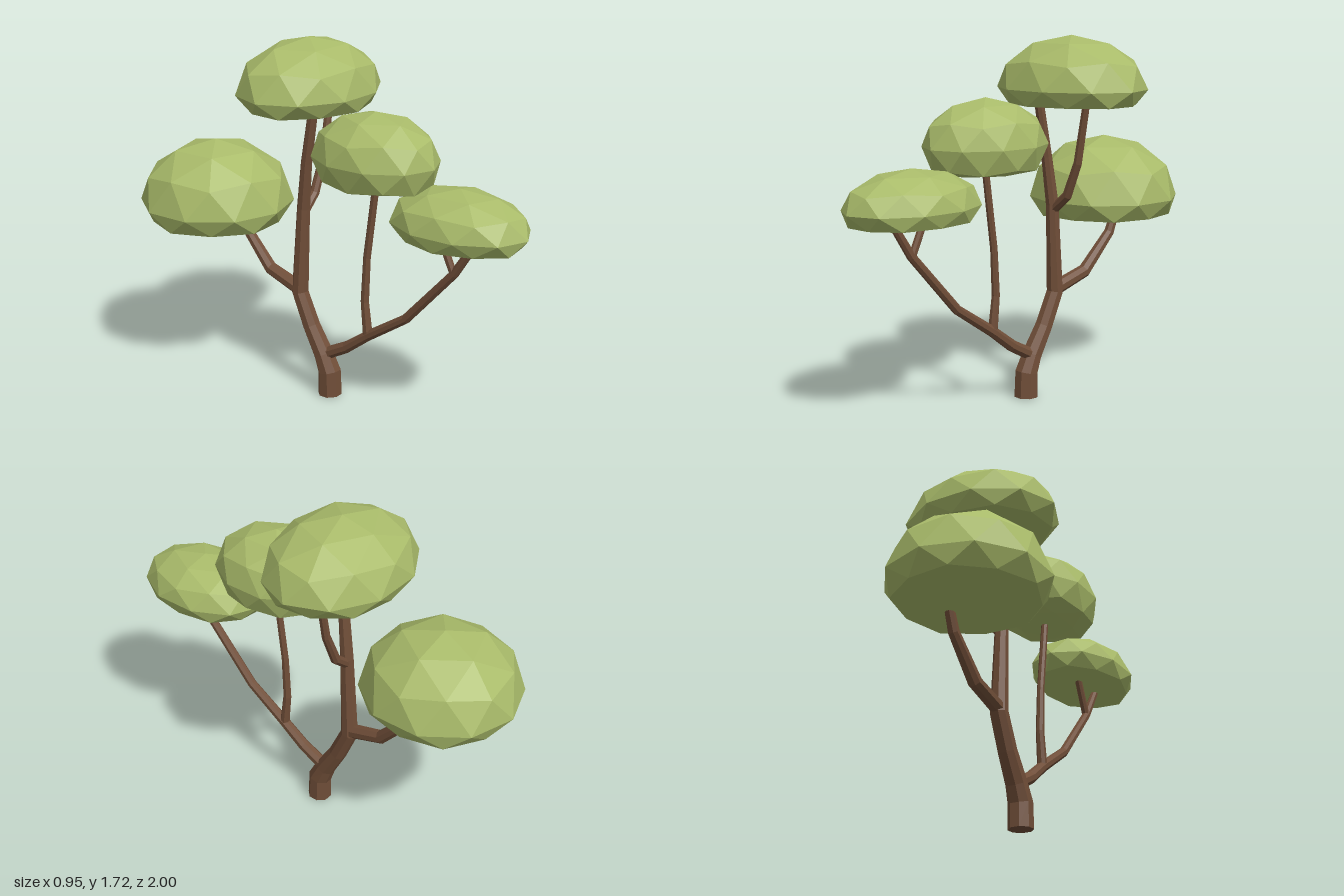
import * as THREE from 'three';

const bark = new THREE.MeshStandardMaterial({ color: 0x704e38, flatShading: true });
bark.name = 'bark';
const leaf = new THREE.MeshStandardMaterial({ color: 0xa9bb6a, flatShading: true });
leaf.name = 'leaf green';

// Tapered faceted limb through points [x, y, z, radius], closed at both ends
function limb(name, pts, sides = 8) {
  const p = pts.map(q => new THREE.Vector3(q[0], q[1], q[2]));
  const pos = [], index = [];
  p.forEach((c, i) => {
    const t = new THREE.Vector3();
    if (i > 0) t.add(c.clone().sub(p[i - 1]).normalize());
    if (i < p.length - 1) t.add(p[i + 1].clone().sub(c).normalize());
    t.normalize();
    const side = new THREE.Vector3(1, 0, 0).addScaledVector(t, -t.x).normalize();
    const up = t.clone().cross(side);
    for (let j = 0; j < sides; j++) {
      const a = ((j + 0.5) / sides) * Math.PI * 2, r = pts[i][3];
      const v = c.clone().addScaledVector(side, Math.cos(a) * r).addScaledVector(up, Math.sin(a) * r);
      pos.push(v.x, v.y, v.z);
    }
  });
  const last = (p.length - 1) * sides, c0 = p.length * sides;
  for (const c of [p[0], p[p.length - 1]]) pos.push(c.x, c.y, c.z);
  for (let j = 0; j < sides; j++) {
    const k = (j + 1) % sides;
    for (let o = 0; o < last; o += sides) {
      index.push(o + j, o + k, o + sides + k, o + j, o + sides + k, o + sides + j);
    }
    index.push(c0, k, j, c0 + 1, last + j, last + k);
  }
  const geo = new THREE.BufferGeometry();
  geo.setAttribute('position', new THREE.Float32BufferAttribute(pos, 3));
  geo.setIndex(index);
  geo.computeVertexNormals();
  const mesh = new THREE.Mesh(geo, bark);
  mesh.name = name;
  return mesh;
}

// Low-poly dome: pole-up icosphere with its underside flattened at `floor`
function crown(name, [x, y, z], [rx, ry, rz], floor, yaw) {
  const geo = new THREE.IcosahedronGeometry(1, 1);
  geo.rotateX(-Math.atan((1 + Math.sqrt(5)) / 2));
  geo.rotateY(yaw);
  geo.scale(rx, ry, rz);
  geo.translate(x, y, z);
  const a = geo.attributes.position;
  for (let i = 0; i < a.count; i++) a.setY(i, Math.max(a.getY(i), floor));
  geo.computeVertexNormals();
  const mesh = new THREE.Mesh(geo, leaf);
  mesh.name = name;
  return mesh;
}

export function createModel() {
  const tree = new THREE.Group();
  tree.name = 'tree';
  const q = Math.PI / 2;

  tree.add(
    // Trunk and its upper fork
    limb('trunk', [
      [-0.022, 0, -0.017, 0.059], [-0.022, 0.12, -0.02, 0.057], [-0.022, 0.2, -0.055, 0.05],
      [-0.02, 0.33, -0.13, 0.044], [-0.018, 0.49, -0.2, 0.042], [-0.015, 0.92, -0.178, 0.032],
      [-0.025, 1.15, -0.15, 0.027], [-0.03, 1.44, -0.1, 0.023],
    ]),
    limb('topFork', [
      [-0.015, 0.89, -0.18, 0.024], [0.08, 0.97, -0.185, 0.024],
      [0.15, 1.13, -0.185, 0.021], [0.21, 1.44, -0.185, 0.018],
    ]),
    // Rear branch
    limb('rearBranch', [
      [-0.018, 0.5, -0.19, 0.036], [-0.01, 0.565, -0.39, 0.033],
      [0, 0.74, -0.55, 0.026], [0, 0.86, -0.6, 0.022],
    ]),
    // Front branch, its two tips and the upright limb rising from it
    limb('frontBranch', [
      [-0.02, 0.2, -0.05, 0.032], [-0.015, 0.27, 0.08, 0.029], [-0.012, 0.36, 0.2, 0.026],
      [-0.012, 0.5, 0.41, 0.023], [-0.012, 0.78, 0.66, 0.021], [-0.012, 0.97, 0.78, 0.018],
    ]),
    limb('frontFork', [[-0.012, 0.77, 0.66, 0.018], [-0.012, 0.97, 0.57, 0.017]]),
    limb('uprightLimb', [
      [-0.012, 0.35, 0.2, 0.024], [-0.012, 0.53, 0.18, 0.02],
      [-0.012, 0.75, 0.19, 0.018], [-0.012, 1.14, 0.24, 0.017],
    ]),
    // Foliage
    crown('frontCrown', [0.007, 1.0, 0.665], [0.24, 0.17, 0.338], 0.935, q),
    crown('middleCrown', [-0.015, 1.235, 0.233], [0.247, 0.215, 0.313], 1.105, -q),
    crown('topCrown', [0.078, 1.475, -0.21], [0.393, 0.245, 0.31], 1.403, 2 * q),
    crown('rearCrown', [-0.12, 0.905, -0.628], [0.373, 0.305, 0.373], 0.82, q),
  );
  return tree;
}
